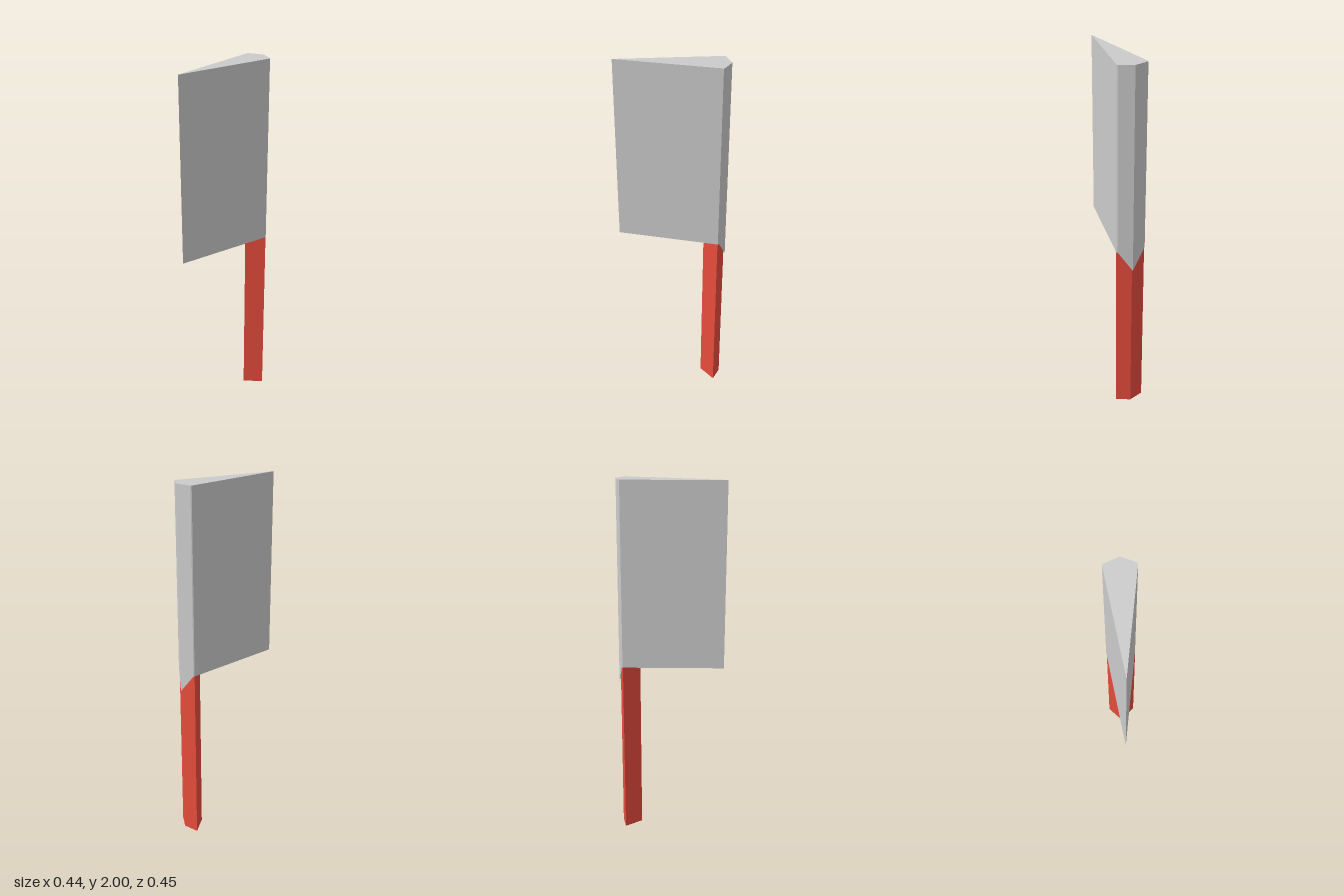
import * as THREE from 'three';

// Upright prism from a plan outline of [x, z] corners
function prism(name, plan, y0, y1, material) {
  const shape = new THREE.Shape(plan.map(([x, z]) => new THREE.Vector2(x, -z)));
  const geometry = new THREE.ExtrudeGeometry(shape, { depth: y1 - y0, bevelEnabled: false });
  geometry.rotateX(-Math.PI / 2).translate(0, y0, 0);
  const mesh = new THREE.Mesh(geometry, material);
  mesh.name = name;
  return mesh;
}

export function createModel() {
  const group = new THREE.Group();
  group.name = 'cleaver';
  const steel = new THREE.MeshStandardMaterial({ color: 0xcccccc, flatShading: true });
  const red = new THREE.MeshStandardMaterial({ color: 0xe74c3c, flatShading: true });

  const bladeBottom = 0.99, top = 2;
  const sideA = [0.22, -0.12], sideB = [0.11, -0.227], ridge = [0.19, -0.195];

  // Wedge-shaped blade tapering to the cutting edge
  group.add(prism('blade', [[-0.22, 0.224], [0.22, -0.112], sideA, sideB, [0.104, -0.226]], bladeBottom, top, steel));

  // Ridged spine, its lower ridge corner pulled down to a point over the handle
  const spine = prism('spine', [sideA, ridge, sideB], bladeBottom, top, steel);
  const p = spine.geometry.attributes.position;
  for (let i = 0; i < p.count; i++) {
    const onRidge = Math.hypot(p.getX(i) - ridge[0], p.getZ(i) - ridge[1]) < 0.001;
    if (onRidge && p.getY(i) < 1.5) p.setY(i, 0.88);
  }
  spine.geometry.computeVertexNormals();
  group.add(spine);

  // Four-sided handle
  group.add(prism('handle', [[0.105, -0.11], [0.219, -0.11], [0.186, -0.188], [0.105, -0.223]], 0, bladeBottom, red));

  return group;
}
